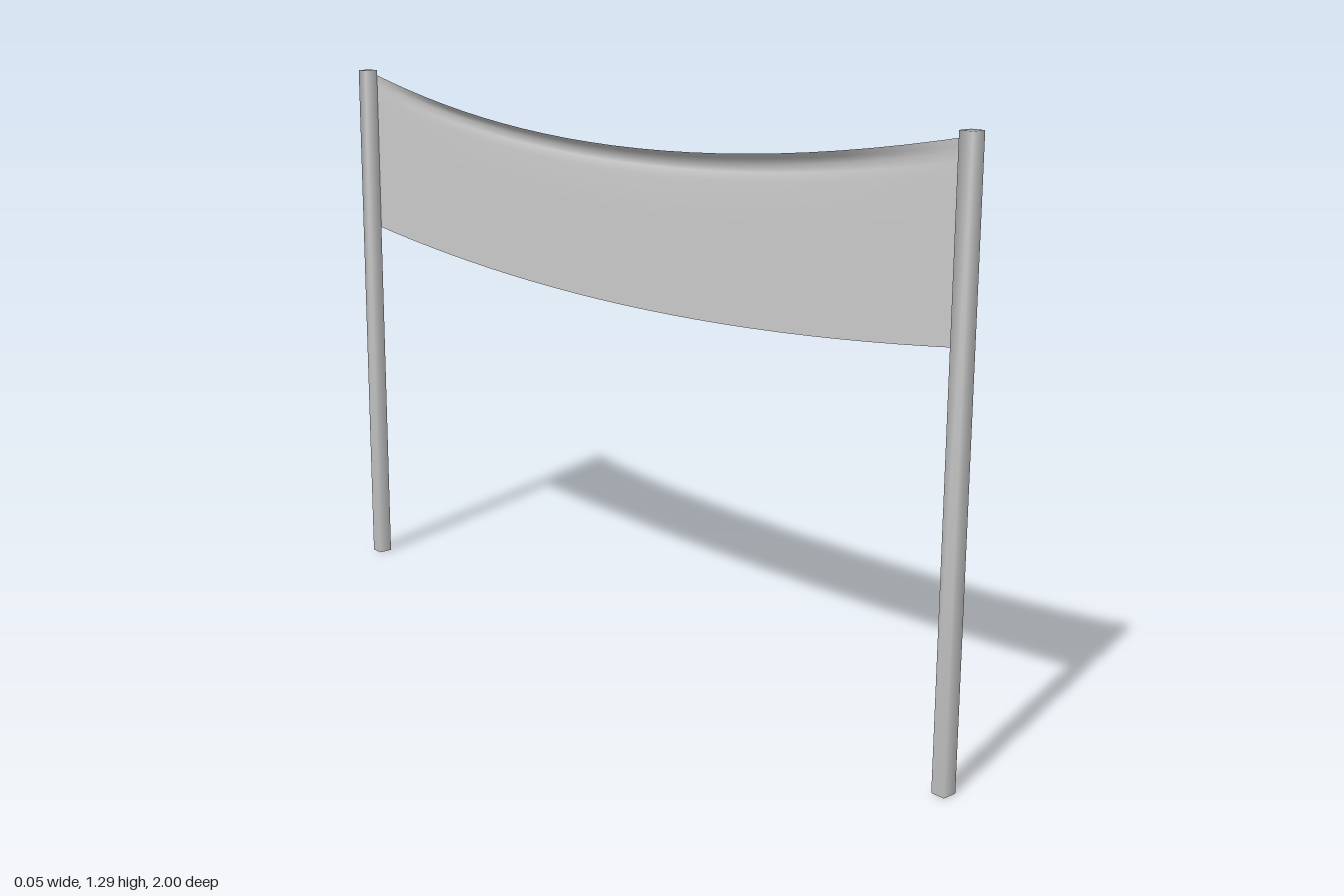
import * as THREE from 'three';
import { mergeVertices } from 'three/addons/utils/BufferGeometryUtils.js';

const POST_HEIGHT = 1.295;
const HALF_BANNER = 0.985;

// Square post with softly shared corner normals
function postGeometry() {
  const box = new THREE.BoxGeometry(0.034, POST_HEIGHT, 0.032);
  box.deleteAttribute('normal');
  box.deleteAttribute('uv');
  const geometry = mergeVertices(box);
  geometry.computeVertexNormals();
  return geometry;
}

// Sagging sheet: rows give [fraction down from the top edge, sideways offset at mid span]
function bannerGeometry() {
  const rows = [[0, -0.027], [0.03, -0.008], [0.065, 0.011], [0.11, 0.006], [0.165, 0], [0.4, 0], [0.7, 0], [1, 0]];
  const geometry = new THREE.PlaneGeometry(1, 1, 24, rows.length - 1);
  const pos = geometry.attributes.position;
  for (let i = 0; i < pos.count; i++) {
    const u = pos.getX(i) * 2;
    const [down, offset] = rows[Math.round((0.5 - pos.getY(i)) * (rows.length - 1))];
    const top = 1.185 + 0.1 * u * u;
    const bottom = 0.825 + 0.065 * u * u;
    const fold = Math.cos(u * Math.PI / 2);
    pos.setXYZ(i, 0.0115 + offset * fold, THREE.MathUtils.lerp(top, bottom, down), -u * HALF_BANNER);
  }
  geometry.computeVertexNormals();
  return geometry;
}

export function createModel() {
  const group = new THREE.Group();
  group.name = 'bannerOnPosts';
  const material = new THREE.MeshStandardMaterial({ color: 0xcccccc });
  const clothMaterial = new THREE.MeshStandardMaterial({ color: 0xcccccc, side: THREE.DoubleSide });

  // Front and back posts
  const post = postGeometry();
  for (const side of [1, -1]) {
    const mesh = new THREE.Mesh(post, material);
    mesh.name = side > 0 ? 'frontPost' : 'backPost';
    mesh.position.set(-0.007, POST_HEIGHT / 2, side * 0.984);
    group.add(mesh);
  }

  // Cloth stretched between the posts
  const banner = new THREE.Mesh(bannerGeometry(), clothMaterial);
  banner.name = 'banner';
  group.add(banner);
  return group;
}
